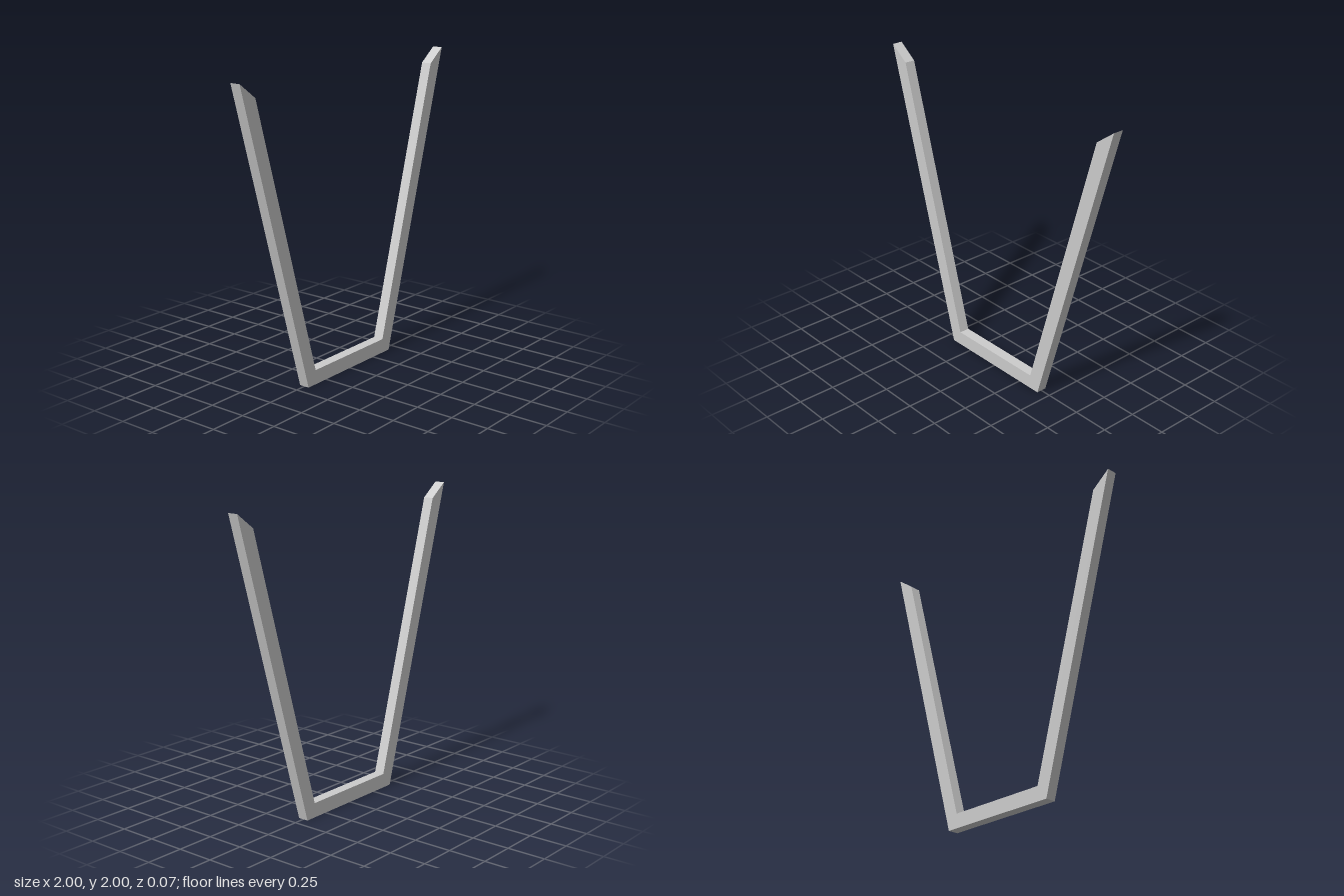
import * as THREE from 'three';

export function createModel() {
  const group = new THREE.Group();
  group.name = 'tableLegFrame';
  const depth = 0.07;

  // Right-hand half of the outline, from outer foot corner round to the inner corner
  const half = [[0.425, 0], [1, 2], [0.872, 1.905], [0.354, 0.096]];
  const mirrored = half.map(([x, y]) => [-x, y]).reverse();
  const outline = [...half, ...mirrored].map(([x, y]) => new THREE.Vector2(x, y));

  // Flat bar frame: base bar and two splayed legs with mitred ends
  const geometry = new THREE.ExtrudeGeometry(new THREE.Shape(outline), { depth, bevelEnabled: false });
  geometry.translate(0, 0, -depth / 2);
  const material = new THREE.MeshStandardMaterial({ color: 0xcccccc, flatShading: true });
  const frame = new THREE.Mesh(geometry, material);
  frame.name = 'frame';
  group.add(frame);
  return group;
}
